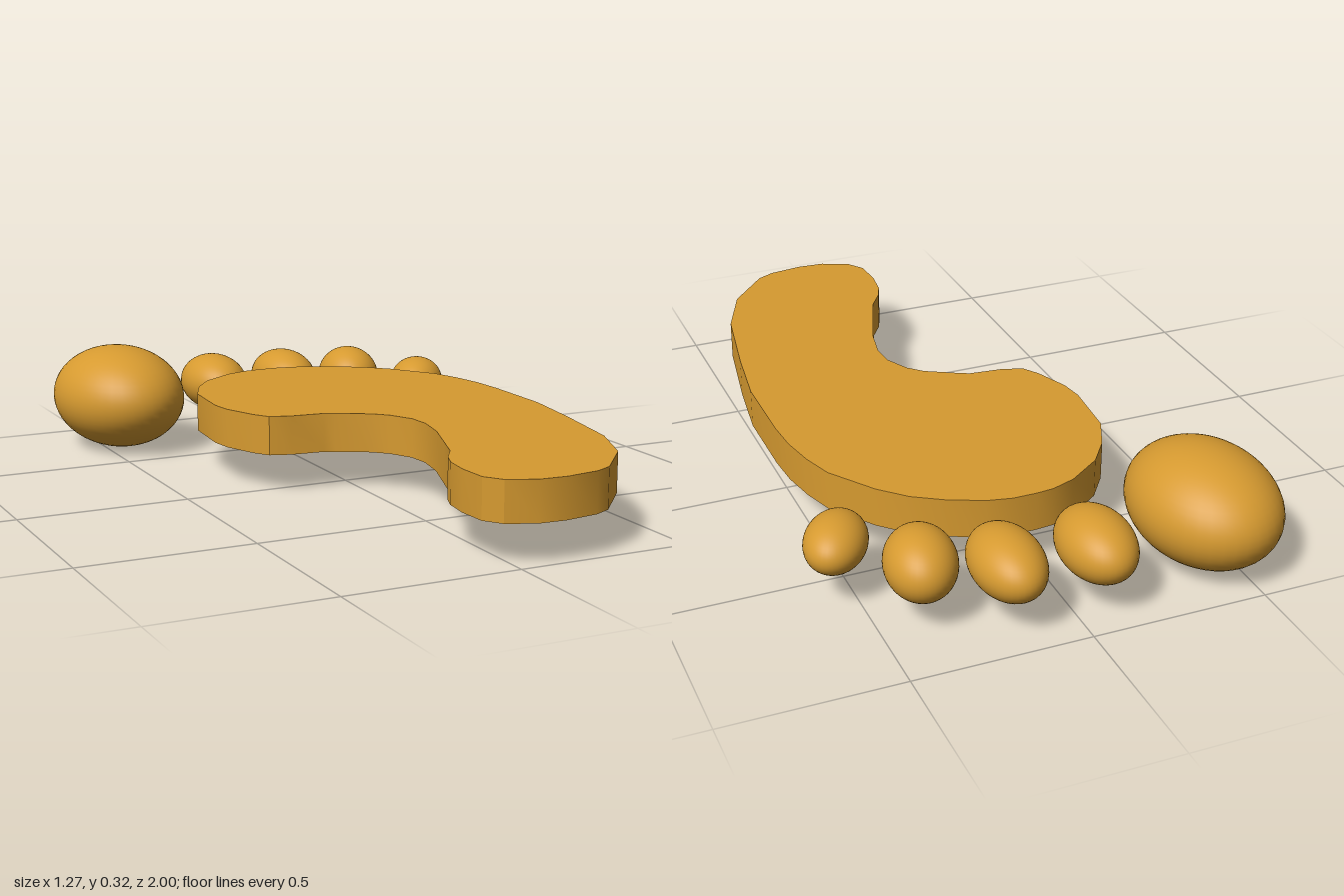
import * as THREE from 'three';
import { toCreasedNormals } from 'three/addons/utils/BufferGeometryUtils.js';

// Sole outline as [x, z]
const OUTLINE = [
  [0, -.64], [.07, -.64], [.14, -.625], [.24, -.58], [.32, -.53], [.39, -.46], [.48, -.33],
  [.51, -.24], [.53, -.14], [.537, -.04], [.537, .2], [.51, .4], [.465, .66], [.395, .83],
  [.28, .96], [.23, .985], [.13, 1], [.05, .995], [-.03, .96], [-.065, .91], [-.07, .82],
  [-.06, .74], [-.04, .69], [0, .63], [.04, .52], [.08, .41], [.1, .31], [.095, .24],
  [.06, .17], [.02, .13], [-.07, .08], [-.1, .065], [-.2, .055], [-.26, .035], [-.29, -.01],
  [-.33, -.11], [-.34, -.18], [-.325, -.36], [-.28, -.46], [-.22, -.54], [-.12, -.61], [-.05, -.635],
];

// Toes: name, centre x and z, half width, half height, half length, turn about y
const TOES = [
  ['bigToe', -.443, -.748, .197, .16, .253, .09],
  ['secondToe', -.083, -.828, .102, .091, .148, 0],
  ['thirdToe', .167, -.822, .098, .088, .148, 0],
  ['fourthToe', .372, -.742, .098, .094, .129, -.2],
  ['littleToe', .54, -.567, .085, .074, .118, -.53],
];

export function createModel() {
  const foot = new THREE.Group();
  foot.name = 'footprint';
  const material = new THREE.MeshStandardMaterial({ color: 0xd69a30 });

  // Flat sole, extruded upwards
  const shape = new THREE.Shape(OUTLINE.map(([x, z]) => new THREE.Vector2(x, -z)));
  const slab = new THREE.ExtrudeGeometry(shape, { depth: .114, bevelEnabled: false });
  slab.rotateX(-Math.PI / 2);
  const sole = new THREE.Mesh(toCreasedNormals(slab, .5), material);
  sole.name = 'sole';
  sole.position.y = .113;
  foot.add(sole);

  // Ellipsoid toes
  const ball = new THREE.SphereGeometry(1, 40, 28);
  for (const [name, x, z, w, h, l, turn] of TOES) {
    const toe = new THREE.Mesh(ball, material);
    toe.name = name;
    toe.position.set(x, .162, z);
    toe.scale.set(w, h, l);
    toe.rotation.y = turn;
    foot.add(toe);
  }
  return foot;
}
